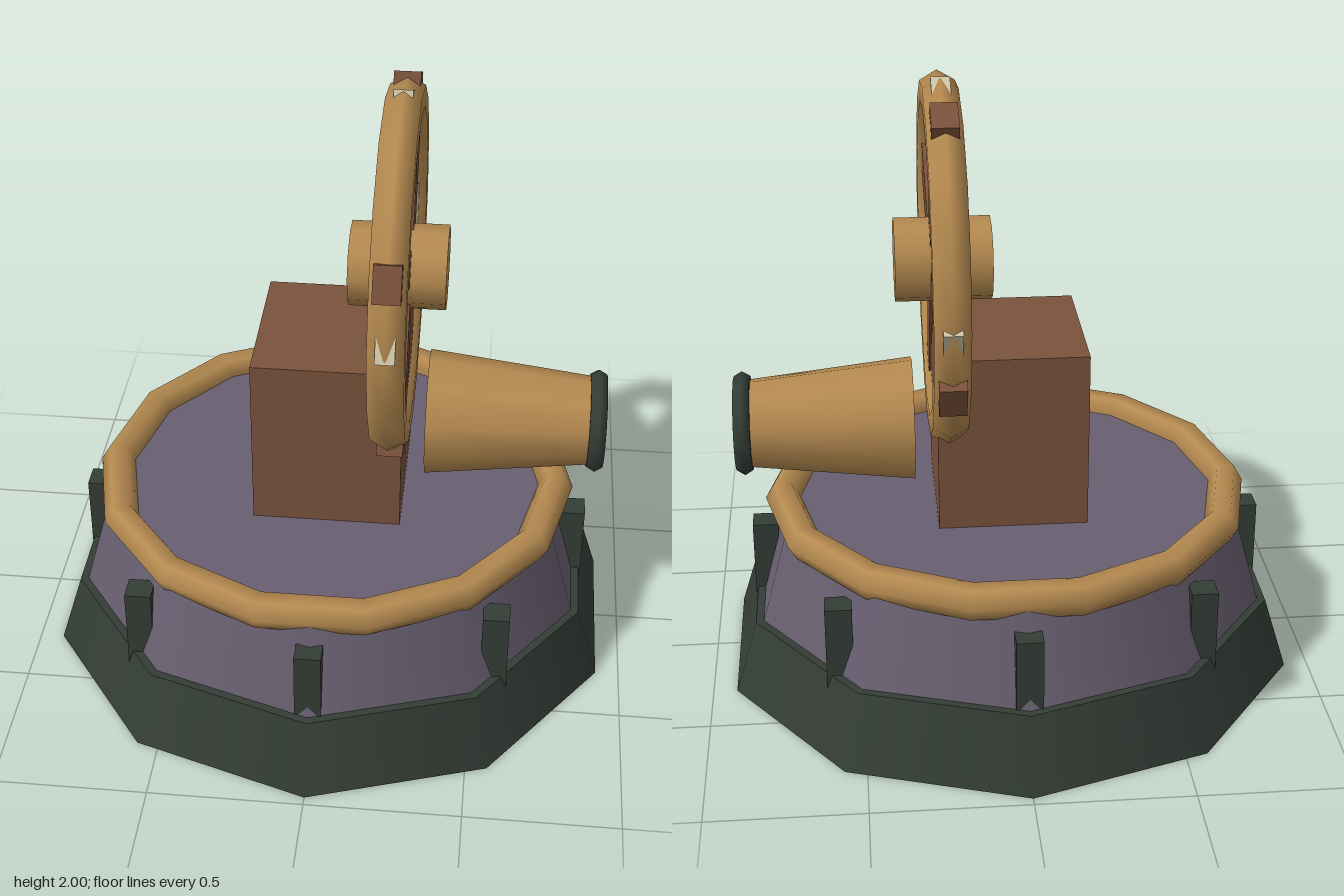
import * as THREE from 'three';

const paint = (name, color) => {
  const m = new THREE.MeshStandardMaterial({ color });
  m.name = name;
  return m;
};

export function createModel() {
  const tan = paint('tan wood', 0xb58a50);
  const brown = paint('brown wood', 0x7a523b);
  const slate = paint('purple slate', 0x685f70);
  const dark = paint('dark green iron', 0x343d36);
  const cream = paint('cream cloth', 0xcdc5a7);

  const model = new THREE.Group();
  const add = (parent, name, geometry, material, x = 0, y = 0, z = 0) => {
    const mesh = new THREE.Mesh(geometry, material);
    mesh.name = name;
    mesh.position.set(x, y, z);
    parent.add(mesh);
    return mesh;
  };
  // group whose local z axis points along the model's +x
  const sideways = (name, x, y, tilt = 0) => {
    const g = new THREE.Group();
    g.name = name;
    g.position.set(x, y, 0);
    g.rotation.set(0, Math.PI / 2, tilt);
    model.add(g);
    return g;
  };

  // ten-sided plinth and drum
  add(model, 'plinth', new THREE.CylinderGeometry(0.892, 0.97, 0.245, 10), dark, 0, 0.1225);
  add(model, 'drum', new THREE.CylinderGeometry(0.775, 0.865, 0.315, 10), slate, 0, 0.4025);
  add(model, 'drumRing', new THREE.TorusGeometry(0.75, 0.058, 6, 14), tan, 0, 0.561)
    .rotation.x = Math.PI / 2;

  // square posts around the drum
  const postGeometry = new THREE.BoxGeometry(0.085, 0.28, 0.085);
  for (let i = 0; i < 8; i++) {
    const a = i * Math.PI / 4;
    add(model, 'post', postGeometry, dark, 0.8125 * Math.cos(a), 0.34, 0.8125 * Math.sin(a));
  }

  // housing block
  add(model, 'housing', new THREE.BoxGeometry(0.485, 0.6, 0.524), brown, -0.0025, 0.85);

  // tapered barrel with a muzzle ring
  const barrel = sideways('barrelGroup', 0.31, 0.84);
  add(barrel, 'barrel', new THREE.CylinderGeometry(0.145, 0.206, 0.55, 10), tan, 0, 0, 0.275)
    .rotation.x = Math.PI / 2;
  add(barrel, 'muzzleRing', new THREE.TorusGeometry(0.14, 0.031, 6, 16), dark, 0, 0, 0.557);

  // wheel with hub, spokes and sail panels
  const wheel = sideways('wheel', 0.205, 1.397, -25.2 * Math.PI / 180);
  add(wheel, 'rim', new THREE.TorusGeometry(0.535, 0.065, 6, 16), tan);
  add(wheel, 'hub', new THREE.CylinderGeometry(0.136, 0.136, 0.31, 10), tan)
    .rotation.x = Math.PI / 2;
  const spokeGeometry = new THREE.BoxGeometry(0.115, 0.608, 0.085);
  const sailGeometry = new THREE.BoxGeometry(0.22, 0.375, 0.06);
  for (let i = 0; i < 4; i++) {
    const arm = new THREE.Group();
    arm.name = 'arm';
    arm.rotation.z = i * Math.PI / 2;
    wheel.add(arm);
    add(arm, 'spoke', spokeGeometry, brown, 0, 0.304);
    add(arm, 'sail', sailGeometry, cream, -0.13, 0.3645);
  }
  return model;
}
